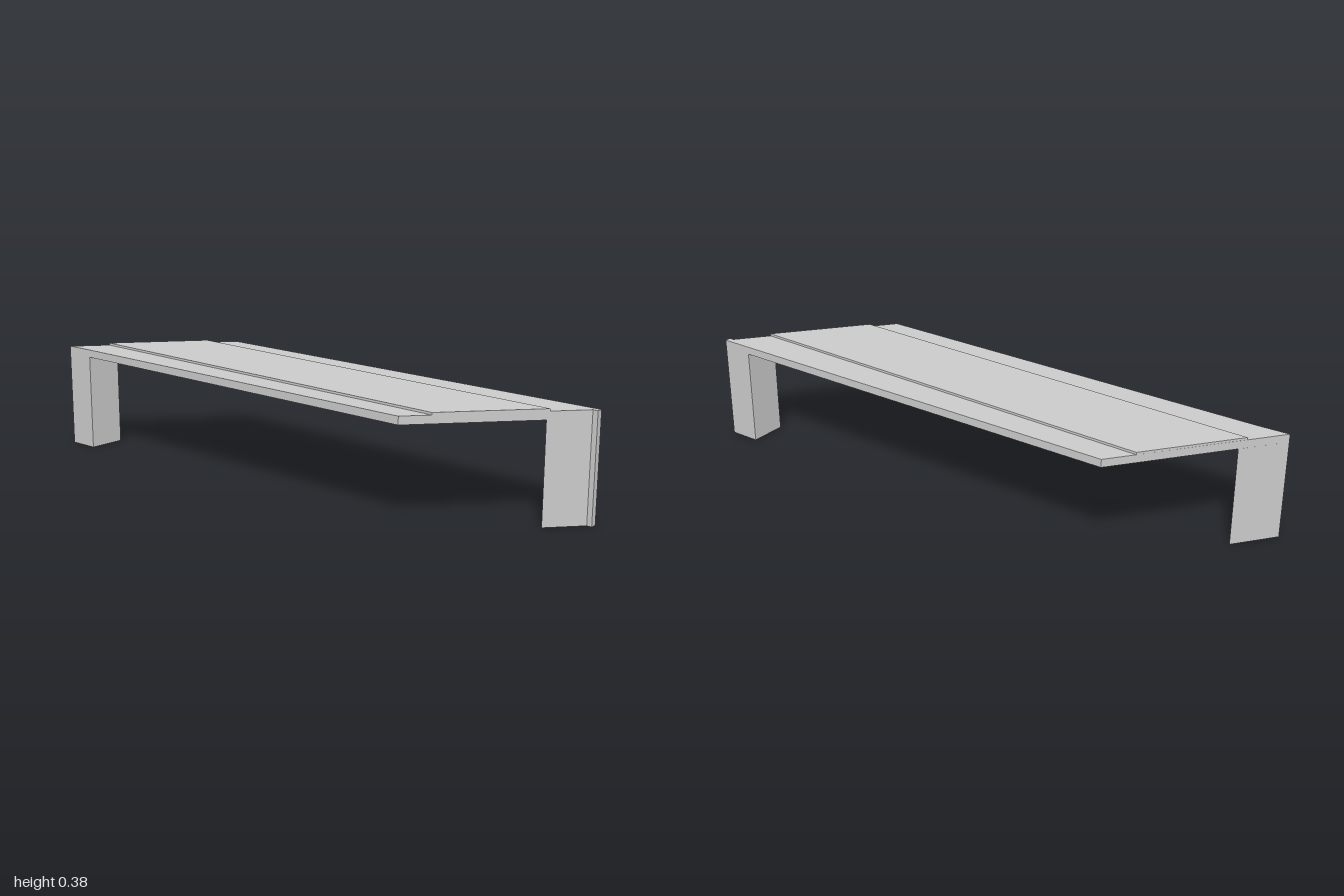
import * as THREE from 'three';

const material = new THREE.MeshStandardMaterial({ color: 0xcccccc, flatShading: true });

// Upright prism from a plan outline of [x, z] points, between two heights
function prism(name, plan, bottom, top) {
  const shape = new THREE.Shape(plan.map(([x, z]) => new THREE.Vector2(x, -z)));
  const geometry = new THREE.ExtrudeGeometry(shape, { depth: top - bottom, bevelEnabled: false });
  geometry.rotateX(-Math.PI / 2);
  geometry.translate(0, bottom, 0);
  const mesh = new THREE.Mesh(geometry, material);
  mesh.name = name;
  return mesh;
}

export function createModel() {
  const group = new THREE.Group();
  group.name = 'slantedBench';

  const underside = 0.349, deck = 0.377, panelTop = 0.385;

  // Slanted slab with a small squared lip at its back left corner
  group.add(prism('slab', [
    [-1, 0.247], [-0.89, 0.243], [0.592, 0.243],
    [0.982, -0.226], [1, -0.226], [1, -0.247], [-0.605, -0.247],
  ], underside, deck));

  // Slightly skewed raised panel along the middle of the slab
  group.add(prism('topPanel', [
    [-0.908, 0.133], [0.659, 0.163], [0.896, -0.122], [-0.676, -0.158],
  ], deck, panelTop));

  // Wedge legs filling the two sharp corners
  group.add(prism('frontLeg', [
    [-1, 0.247], [-0.89, 0.243], [-0.89, 0.109],
  ], 0, underside));
  group.add(prism('backLeg', [
    [0.888, -0.113], [0.982, -0.226], [1, -0.226], [1, -0.247], [0.888, -0.247],
  ], 0, underside));

  return group;
}
